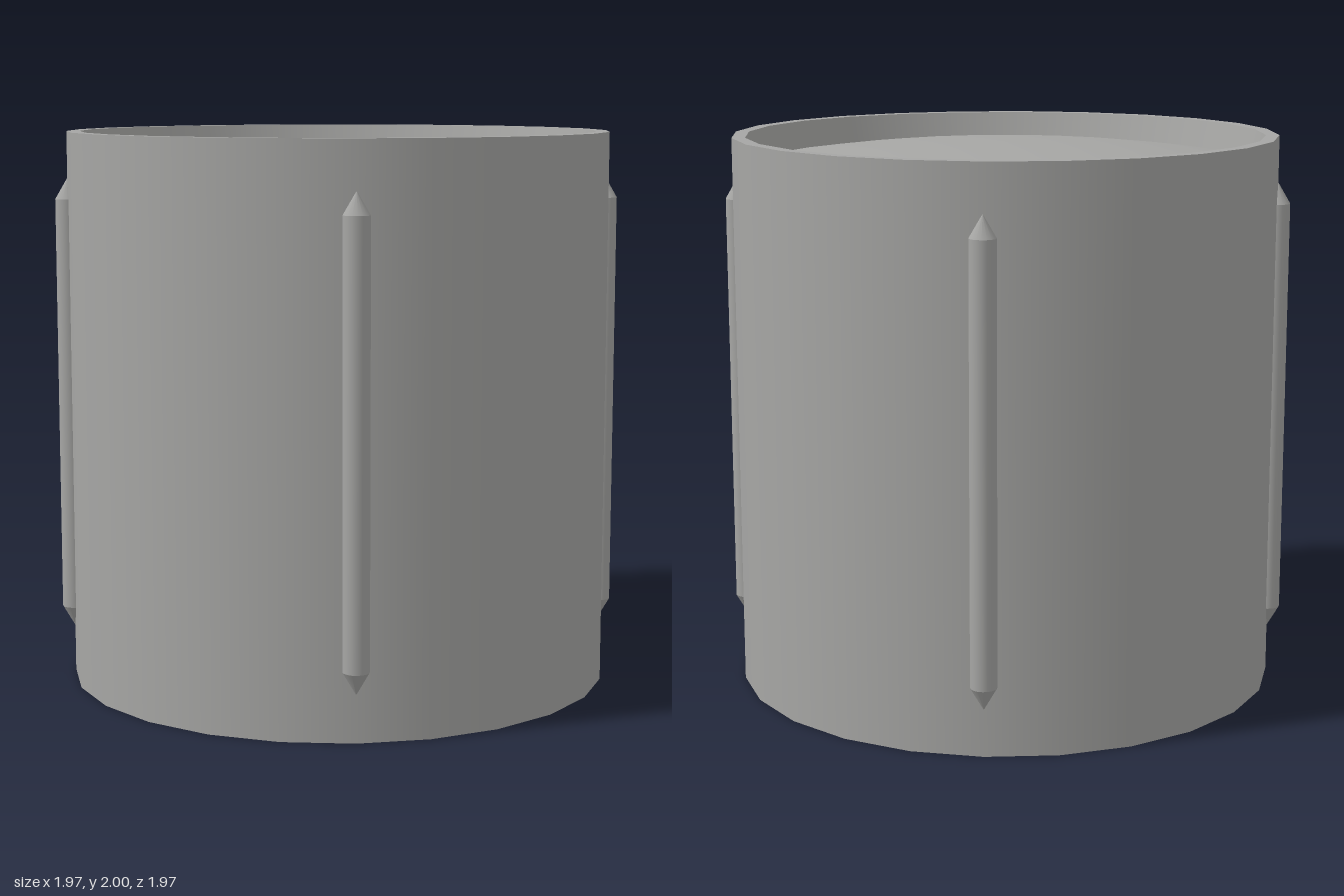
import * as THREE from 'three';

export function createModel() {
  const model = new THREE.Group();
  model.name = 'drum';
  const grey = new THREE.MeshStandardMaterial({ color: 0xa6a6a4 });
  grey.name = 'grey';

  const add = (parent, name, geometry, y = 0) => {
    const mesh = new THREE.Mesh(geometry, grey);
    mesh.name = name;
    mesh.position.y = y;
    parent.add(mesh);
  };
  const lathe = (points) =>
    new THREE.LatheGeometry(points.map(([r, y]) => new THREE.Vector2(r, y)), 24);

  // Shell: each profile segment is its own band, so rims stay crisp
  // while every band is smooth around the axis.
  const profile = [
    [0.91, 0.1], [0.935, 0], [0.983, 0],
    [0.983, 2], [0.935, 2], [0.91, 1.9],
  ];
  const bands = ['bottomInnerWall', 'bottomRim', 'outerWall', 'topRim', 'topInnerWall'];
  bands.forEach((name, i) => add(model, name, lathe([profile[i], profile[i + 1]])));

  // Shallow domed heads, recessed inside the rims
  const dome = [];
  for (let i = 0; i <= 6; i++) {
    const t = i / 6;
    dome.push([0.91 * t, 0.1 - 0.07 * (1 - t * t)]);
  }
  add(model, 'bottomHead', lathe(dome));
  add(model, 'topHead', lathe(dome.map(([r, y]) => [r, 2 - y]).reverse()));

  // Four upright rods with pointed ends, half sunk into the wall
  const radius = 0.046, low = 0.245, high = 1.755, tip = 0.079, sides = 16;
  for (const x of [-1, 1]) {
    for (const z of [-1, 1]) {
      const rod = new THREE.Group();
      rod.name = (z > 0 ? 'front' : 'back') + (x > 0 ? 'Left' : 'Right') + 'Rod';
      rod.position.set(x * 0.694, 0, z * 0.694);
      add(rod, 'rodBody', new THREE.CylinderGeometry(radius, radius, high - low, sides, 1, true), 1);
      add(rod, 'rodTopTip', new THREE.CylinderGeometry(0, radius, tip, sides, 1, true), high + tip / 2);
      add(rod, 'rodBottomTip', new THREE.CylinderGeometry(radius, 0, tip, sides, 1, true), low - tip / 2);
      model.add(rod);
    }
  }
  return model;
}
